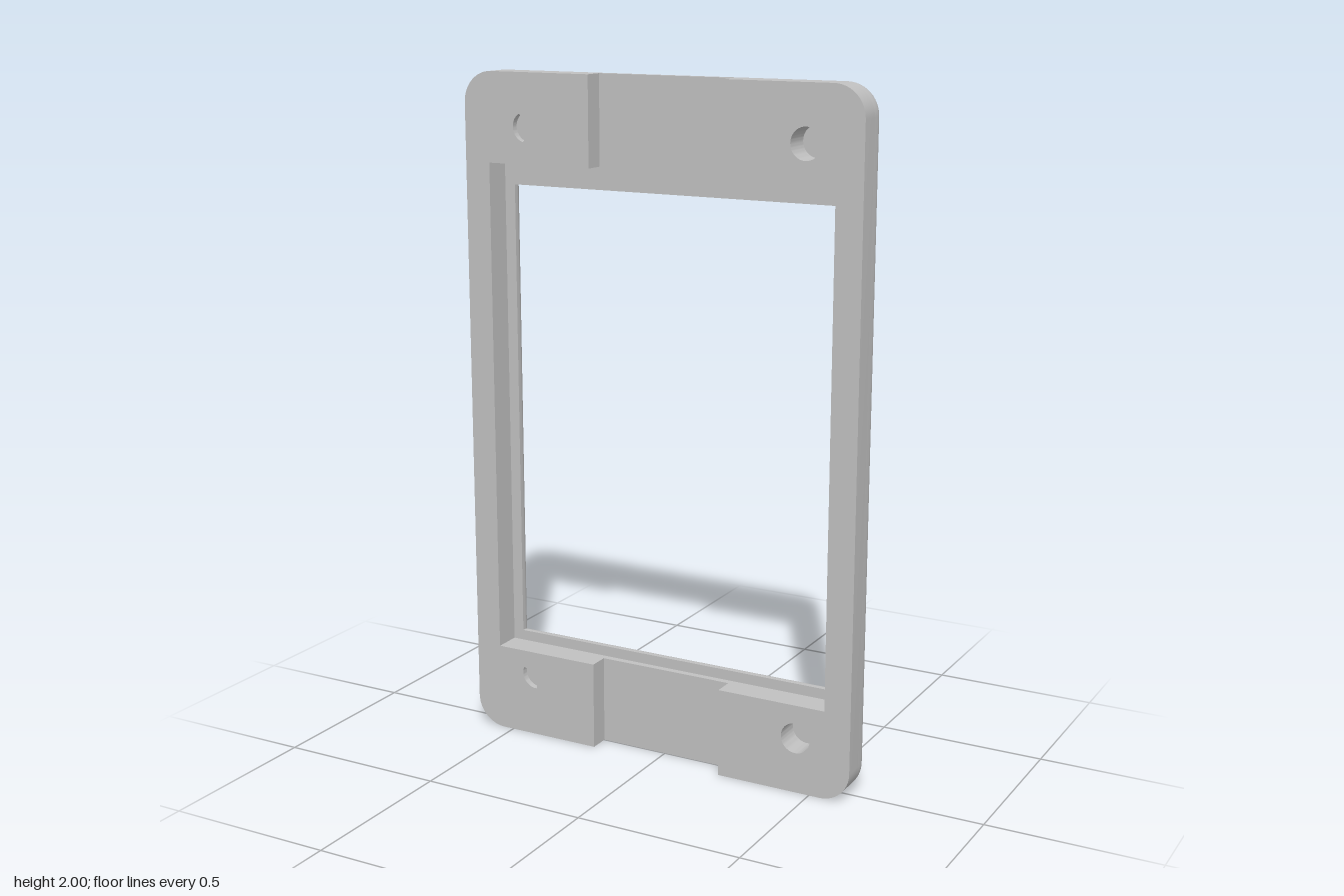
import * as THREE from 'three';
import { toCreasedNormals } from 'three/addons/utils/BufferGeometryUtils.js';

const HALF_W = 0.623, CORNER = 0.09;
const Z_FRONT = 0.0615, Z_NOTCH = 0, Z_LEDGE = -0.02, Z_BACK = -0.0615;
const NOTCH_X = 0.21;
const HOLE_X = 0.455, HOLE_YS = [0.165, 1.84], HOLE_R = 0.045;
const OUTER = { x: HALF_W, y: 1, cy: 1, r: CORNER };
const RECESS = { x: 0.543, y: 0.738, cy: 1.002, r: 0 };
const WINDOW = { x: 0.51, y: 0.688, cy: 0.983, r: 0 };

// Counter-clockwise rectangle outline, grown by d, with round or sharp corners
function outline({ x, y, cy, r }, d = 0) {
  const pts = [], n = r ? 12 : 0, rad = r ? r + d : 0;
  [[1, -1], [1, 1], [-1, 1], [-1, -1]].forEach(([sx, sy], q) => {
    for (let i = 0; i <= n; i++) {
      const a = (q - 1) * Math.PI / 2 + (n ? i / n : 0) * Math.PI / 2;
      pts.push(new THREE.Vector2(
        sx * (x + d - rad) + rad * Math.cos(a),
        cy + sy * (y + d - rad) + rad * Math.sin(a)));
    }
  });
  return pts;
}

function screwHole(x, y) {
  return new THREE.Path().absarc(x, y, HOLE_R, 0, Math.PI * 2, true);
}

function slab(shape, z0, z1) {
  const g = new THREE.ExtrudeGeometry(shape, { depth: z1 - z0, bevelEnabled: false, curveSegments: 32 });
  return toCreasedNormals(g.translate(0, 0, z0), 0.6);
}

// Skin joining closed rings of equal point count; each ring is { pts, z }
function loft(rings) {
  const pos = [], idx = [], n = rings[0].pts.length;
  rings.forEach(({ pts, z }) => pts.forEach(p => pos.push(p.x, p.y, z)));
  for (let i = 0; i < rings.length - 1; i++) {
    for (let j = 0; j < n; j++) {
      const a = i * n + j, b = i * n + (j + 1) % n;
      idx.push(a, b, b + n, a, b + n, a + n);
    }
  }
  const g = new THREE.BufferGeometry();
  g.setAttribute('position', new THREE.Float32BufferAttribute(pos, 3));
  g.setIndex(idx);
  return toCreasedNormals(g, 0.6);
}

// Rings of a quarter-round from the back face; side is -1 outside, +1 for an opening
function roundedEdge(rect, radius, side) {
  const rings = [];
  for (let i = 0; i <= 10; i++) {
    const a = i / 10 * Math.PI / 2;
    rings.push({ pts: outline(rect, side * radius * (1 - Math.sin(a))), z: Z_BACK + radius * (1 - Math.cos(a)) });
  }
  return rings;
}

export function createModel() {
  const model = new THREE.Group();
  model.name = 'screenBezel';
  const grey = new THREE.MeshStandardMaterial({ color: 0xc0c0c0 });
  grey.name = 'plain grey';
  const add = (name, geometry) => {
    const mesh = new THREE.Mesh(geometry, grey);
    mesh.name = name;
    model.add(mesh);
  };

  // Raised front halves, separated by the notches at top and bottom
  const top = RECESS.cy + RECESS.y, bottom = RECESS.cy - RECESS.y;
  for (const s of [1, -1]) {
    const pts = [
      new THREE.Vector2(NOTCH_X, 0),
      ...outline(OUTER).filter(p => p.x > NOTCH_X),
      new THREE.Vector2(NOTCH_X, 2),
      new THREE.Vector2(NOTCH_X, top),
      new THREE.Vector2(RECESS.x, top),
      new THREE.Vector2(RECESS.x, bottom),
      new THREE.Vector2(NOTCH_X, bottom),
    ].map(p => new THREE.Vector2(p.x * s, p.y));
    const half = new THREE.Shape(pts);
    HOLE_YS.forEach(y => half.holes.push(screwHole(s * HOLE_X, y)));
    add(s > 0 ? 'leftFrontHalf' : 'rightFrontHalf', slab(half, Z_NOTCH, Z_FRONT));
  }

  // Middle frame around the recess
  const middle = new THREE.Shape(outline(OUTER));
  middle.holes.push(new THREE.Path(outline(RECESS)));
  for (const x of [HOLE_X, -HOLE_X]) HOLE_YS.forEach(y => middle.holes.push(screwHole(x, y)));
  add('middleFrame', slab(middle, Z_LEDGE, Z_NOTCH));

  // Rounded back shell
  const outerR = Z_LEDGE - Z_BACK, windowR = 0.03;
  add('outerRoundedEdge', loft(roundedEdge(OUTER, outerR, -1)));
  const inner = roundedEdge(WINDOW, windowR, 1);
  inner.push({ pts: outline(WINDOW), z: Z_LEDGE });
  add('windowRoundedEdge', loft(inner.reverse()));

  // Ledge inside the recess, also the floor of the screw holes
  const ledge = new THREE.Shape(outline(OUTER, -0.01));
  ledge.holes.push(new THREE.Path(outline(WINDOW)));
  add('recessLedge', new THREE.ShapeGeometry(ledge).translate(0, 0, Z_LEDGE));

  // Flat back face, turned to look backwards (the outline is symmetric in x)
  const back = new THREE.Shape(outline(OUTER, -outerR));
  back.holes.push(new THREE.Path(outline(WINDOW, windowR)));
  add('backFace', new THREE.ShapeGeometry(back).rotateY(Math.PI).translate(0, 0, Z_BACK));

  return model;
}
